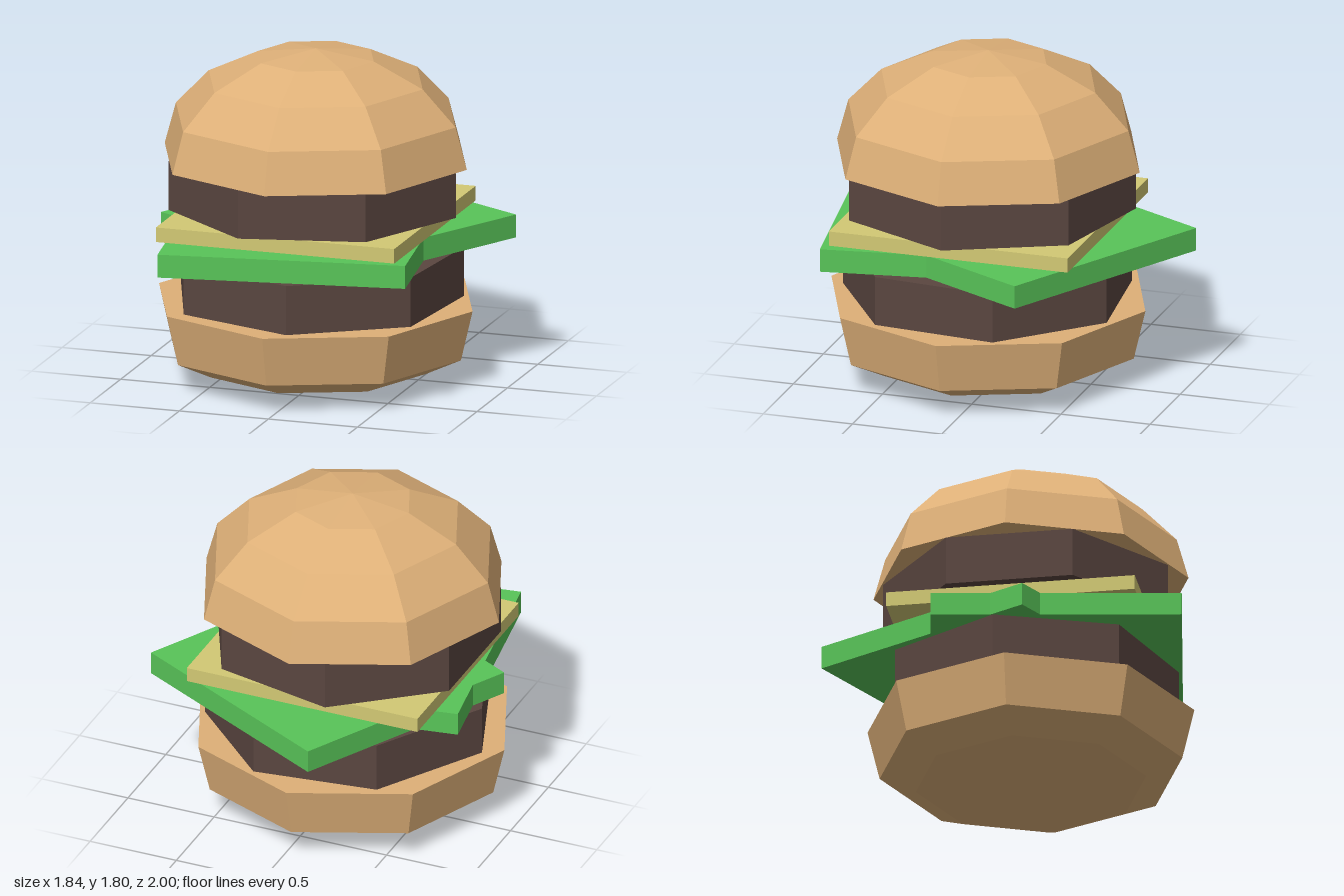
import * as THREE from 'three';

const flat = (name, color) => {
  const m = new THREE.MeshStandardMaterial({ color, flatShading: true });
  m.name = name;
  return m;
};

export function createModel() {
  const bun = flat('toasted bun', 0xdeb078);
  const meat = flat('grilled meat', 0x5a4640);
  const leaf = flat('lettuce green', 0x58c458);
  const cheddar = flat('pale cheese', 0xd2c974);

  const burger = new THREE.Group();
  burger.name = 'burger';
  const CX = -0.045, CZ = 0.09; // axis of the stack

  const add = (name, geometry, material, x, y, z, turn = 0) => {
    const mesh = new THREE.Mesh(geometry, material);
    mesh.name = name;
    mesh.position.set(x, y, z);
    mesh.rotation.y = THREE.MathUtils.degToRad(turn);
    burger.add(mesh);
  };

  // Eight-sided buns, profiles run from the bottom up
  const addBun = (name, profile) => add(name,
    new THREE.LatheGeometry(profile.map(([r, y]) => new THREE.Vector2(r, y)), 8),
    bun, CX, 0, CZ);
  addBun('bottomBun', [[0, 0], [0.34, 0.022], [0.62, 0.063], [0.815, 0.155], [0.88, 0.43], [0, 0.43]]);
  addBun('topBun', [[0, 1.207], [0.848, 1.207], [0.785, 1.435], [0.6, 1.628], [0.325, 1.758], [0, 1.802]]);

  // Seven-sided patties
  const addPatty = (name, y, turn) =>
    add(name, new THREE.CylinderGeometry(0.787, 0.787, 0.27, 7), meat, CX, y, CZ, turn);
  addPatty('lowerPatty', 0.568, 58.7);
  addPatty('upperPatty', 1.072, 90);

  // Two crossed lettuce leaves and a cheese slice
  const leafShape = new THREE.BoxGeometry(1.335, 0.126, 1.335);
  add('frontLettuce', leafShape, leaf, -0.07, 0.786, 0.2325, 9.1);
  add('backLettuce', leafShape, leaf, 0.0175, 0.786, -0.1, -27.7);
  add('cheese', new THREE.BoxGeometry(1.338, 0.08, 1.338), cheddar, CX, 0.889, CZ);

  return burger;
}
